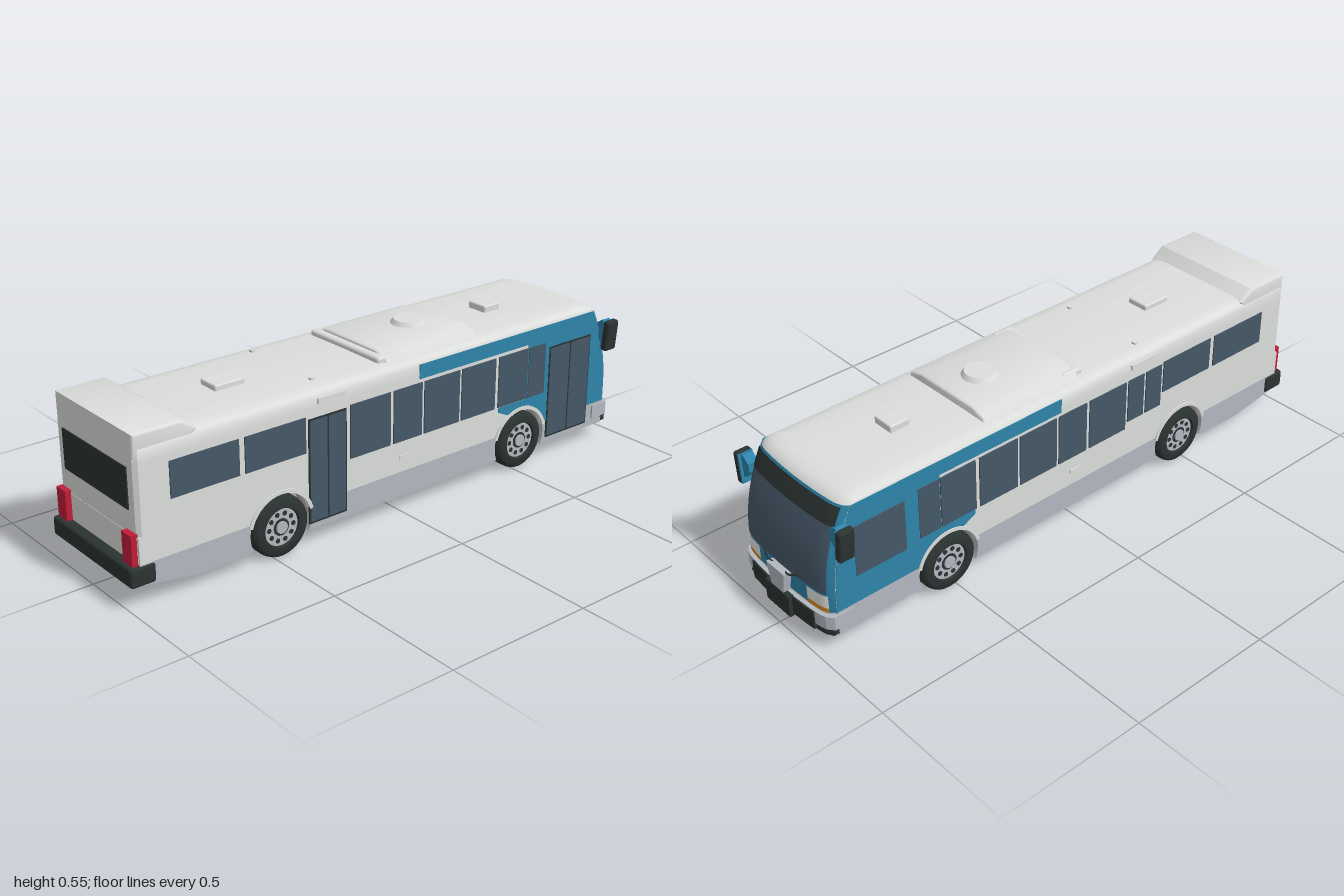
import * as THREE from 'three';
import { toCreasedNormals } from 'three/addons/utils/BufferGeometryUtils.js';
import { RoundedBoxGeometry } from 'three/addons/geometries/RoundedBoxGeometry.js';

const colours = {
  body: 0xdcdedb, skirt: 0xb2b7c0, blue: 0x2e84aa, glass: 0x465767, black: 0x2b3331,
  orange: 0xdc8720, red: 0xc01e38, underside: 0xb8b6b3, lamp: 0xefefec,
};
const W = 0.215;      // half width
const REAR = -0.965;
const AXLES = [-0.475, 0.525];
const ARCH = 0.113;
const SKIRT_TOP = 0.14;

// Curved, raked front surface
function frontX(y, z, w = W) {
  const t = Math.min(1, Math.abs(z) / w), k = Math.max(0, y - 0.2);
  return 0.968 - 0.9 * k * k - 0.015 * t * t - 0.02 * t ** 14;
}

export function createModel() {
  const bus = new THREE.Group();
  bus.name = 'bus';
  const mats = {};
  for (const [name, color] of Object.entries(colours)) {
    mats[name] = new THREE.MeshStandardMaterial({ color });
    mats[name].name = name;
  }
  const add = (name, geo, mat, x = 0, y = 0, z = 0, parent = bus) => {
    const m = new THREE.Mesh(geo, mats[mat]);
    m.name = name;
    m.position.set(x, y, z);
    parent.add(m);
    return m;
  };
  const poly = pts => new THREE.Shape(pts.map(p => new THREE.Vector2(p[0], p[1])));
  const rect = (x0, x1, y0, y1) => poly([[x0, y0], [x1, y0], [x1, y1], [x0, y1]]);
  const extrude = (shape, depth) => new THREE.ExtrudeGeometry(shape, { depth, bevelEnabled: false, curveSegments: 24 });
  const box = (name, mat, x0, x1, y0, y1, z0, z1) => add(name, new THREE.BoxGeometry(x1 - x0, y1 - y0, z1 - z0), mat,
    (x0 + x1) / 2, (y0 + y1) / 2, (z0 + z1) / 2);
  const rounded = (name, mat, x0, x1, y0, y1, z0, z1, r) => add(name,
    new RoundedBoxGeometry(x1 - x0, y1 - y0, z1 - z0, 3, r), mat, (x0 + x1) / 2, (y0 + y1) / 2, (z0 + z1) / 2);
  // Side slab whose outer face lies at |z| = zo
  const slab = (name, shape, zo, th, mat, sides = [1, -1]) => sides.forEach(s =>
    add(name, extrude(shape, th), mat, 0, 0, s > 0 ? zo - th : -zo));
  // Slab seen from above, lying between y0 and y1
  const plan = (name, pts, y0, y1, mat) => {
    const g = extrude(poly(pts), y1 - y0);
    g.rotateX(Math.PI / 2);
    add(name, g, mat, 0, y1, 0);
  };
  const makeMesh = (pos, idx) => {
    const g = new THREE.BufferGeometry();
    g.setAttribute('position', new THREE.Float32BufferAttribute(pos, 3));
    g.setIndex(idx);
    g.computeVertexNormals();
    return g;
  };
  // Thin skin following the front surface
  const patch = (name, mat, y0, y1, z0, z1, eps) => {
    const pos = [], idx = [], ny = 8, nz = 32;
    for (let i = 0; i <= ny; i++) for (let j = 0; j <= nz; j++) {
      const y = y0 + (y1 - y0) * i / ny, z = z0 + (z1 - z0) * j / nz;
      pos.push(frontX(y, z) + eps, y, z);
      if (i < ny && j < nz) {
        const a = i * (nz + 1) + j, b = a + nz + 1;
        idx.push(a, b, a + 1, a + 1, b, b + 1);
      }
    }
    add(name, makeMesh(pos, idx), mat);
  };

  // Upper body: rings stacked upwards, closed by the roof
  const rings = [[0.215, 0], [0.28, 0], [0.34, 0], [0.4, 0], [0.45, 0], [0.48, 0.001], [0.493, 0.007], [0.502, 0.018], [0.507, 0.05]];
  const pos = [], idx = [], M = 37;
  rings.forEach(([y, d], r) => {
    const w = W - d, back = REAR + d;
    for (let j = 0; j <= 32; j++) {
      const z = -w + 2 * w * j / 32;
      pos.push(frontX(y, z, w) - d, y, z);
    }
    pos.push(back + 0.012, y, w, back, y, w - 0.012, back, y, -w + 0.012, back + 0.012, y, -w);
    for (let j = 0; j < M; j++) {
      const a = r * M + j, b = r * M + (j + 1) % M;
      if (r < rings.length - 1) idx.push(a, a + M, b, b, a + M, b + M);
      else idx.push(rings.length * M, b, a);
    }
  });
  pos.push(0, 0.509, 0);
  add('upperBody', toCreasedNormals(makeMesh(pos, idx), 0.6), 'body');

  // Lower panels: three spans shaped around the wheel arches
  const belly = [[-0.6, 0.046], [-0.77, 0.046], [-0.9, 0.065], [REAR, 0.078]];
  const lower = (name, x1, y0, y1, r, zo, th, mat, bottom = []) => {
    const arc = (cx, dir) => Array.from({ length: 13 }, (_, i) => {
      const y = y0 + (y1 - y0) * i / 12;
      return [cx + dir * Math.sqrt(Math.max(0, r * r - (y - 0.1) ** 2)), y];
    });
    const [a, b] = AXLES;
    const tail = bottom.length ? bottom : [[REAR, y0]];
    const spans = [
      [...arc(a, -1), [REAR, y1], ...[...tail].reverse()],
      [...arc(b, -1), ...arc(a, 1).reverse()],
      [[x1, y0], [x1, y1], ...arc(b, 1).reverse()],
    ];
    spans.forEach(s => slab(name, poly(s), zo, th, mat));
  };
  const nose = frontX(0.1, W);
  lower('skirt', nose, 0.055, SKIRT_TOP, ARCH, W, 0.02, 'skirt', belly);
  lower('lowerPanel', nose, SKIRT_TOP, 0.225, ARCH, W, 0.02, 'body');
  lower('chassis', 0.93, 0.055, 0.216, 0.117, 0.196, 0.052, 'underside', belly);
  box('floor', 'underside', -0.6, 0.95, 0.055, 0.215, -0.146, 0.146);
  add('rearFloor', extrude(poly([[-0.59, 0.215], [-0.59, 0.055], ...belly, [REAR, 0.215]]), 0.292), 'underside', 0, 0, -0.146);
  box('rearLowerPanel', 'body', REAR - 0.001, REAR + 0.02, 0.08, 0.225, -W + 0.008, W - 0.008);

  // Blue paint on the sides, following the nose
  const blue = [[0.07, 0.485], [0.07, 0.437], [0.55, 0.437], [0.55, 0.244], [0.42, 0.244], [0.42, 0.228], [0.47, 0.205]];
  for (let i = 0; i <= 16; i++) {
    const a = 2.04 - 1.68 * i / 16;
    blue.push([AXLES[1] + ARCH * Math.cos(a), 0.1 + ARCH * Math.sin(a)]);
  }
  for (let i = 0; i <= 10; i++) {
    const y = SKIRT_TOP + (0.485 - SKIRT_TOP) * i / 10;
    blue.push([frontX(y, W), y]);
  }
  slab('bluePaint', poly(blue), W + 0.002, 0.003, 'blue');

  // Side windows
  const pane = (name, x0, x1, y0, y1, sides) => slab(name, rect(x0, x1, y0, y1), W + 0.004, 0.004, 'glass', sides);
  [[-0.855, -0.62], [-0.6, -0.38]].forEach(([a, b]) => pane('rearSideWindow', a, b, 0.315, 0.43));
  [[-0.21, -0.05], [-0.037, 0.08], [0.09, 0.24], [0.25, 0.4], [0.415, 0.548], [0.553, 0.63]]
    .forEach(([a, b]) => pane('sideWindow', a, b, 0.247, 0.425));
  [[-0.37, -0.3], [-0.29, -0.22]].forEach(([a, b]) => pane('leftMiddleWindow', a, b, 0.27, 0.425, [-1]));
  pane('driverWindow', 0.68, 0.86, 0.235, 0.41, [-1]);

  // Passenger doors on the right-hand side
  [[-0.37, -0.225, 0.42], [0.65, 0.85, 0.405]].forEach(([x0, x1, top]) => {
    slab('doorFrame', rect(x0, x1, 0.075, top), W + 0.003, 0.005, 'black', [1]);
    const mid = (x0 + x1) / 2;
    [[x0 + 0.005, mid - 0.003], [mid + 0.003, x1 - 0.005]].forEach(([a, b]) =>
      slab('doorPane', rect(a, b, 0.082, top - 0.006), W + 0.005, 0.004, 'glass', [1]));
  });
  slab('roofSideTrim', rect(-0.335, -0.23, 0.462, 0.48), W + 0.006, 0.012, 'body');
  slab('sideMarker', rect(-0.01, 0.03, 0.187, 0.198), W + 0.004, 0.005, 'body');

  // Front face
  patch('noseSkirt', 'skirt', 0.06, 0.13, -W, W, 0);
  patch('noseStripe', 'body', 0.128, 0.138, -W, W, 0.001);
  patch('frontPaint', 'blue', 0.137, 0.486, -W, W, 0.002);
  patch('windshield', 'glass', 0.205, 0.424, -0.198, 0.198, 0.005);
  patch('destinationPanel', 'black', 0.424, 0.481, -0.2, 0.2, 0.006);
  for (const s of [1, -1]) {
    const [a, b] = s > 0 ? [0.12, 0.202] : [-0.202, -0.12];
    patch('headlight', 'lamp', 0.155, 0.2, a, b, 0.006);
    patch('turnSignal', 'orange', 0.14, 0.155, a, b, 0.006);
  }

  // Front bumper
  const bow = (w, out, back) => {
    const pts = [[back, -w]];
    for (let i = 0; i <= 20; i++) {
      const z = -w + 2 * w * i / 20;
      pts.push([frontX(0.1, z, 0.222) + out, z]);
    }
    return [...pts, [back, w]];
  };
  plan('frontBumper', bow(0.221, 0.014, 0.88), 0.083, 0.13, 'skirt');
  plan('bumperLip', bow(0.215, 0.01, 0.93), 0.06, 0.083, 'black');
  plan('bumperCentre', bow(0.156, 0.019, 0.94), 0.064, 0.128, 'black');
  box('rackMount', 'black', 0.95, 0.998, 0.056, 0.13, -0.06, 0.06);
  const bracket = extrude(poly([[-0.03, 0.127], [0.03, 0.127], [0.045, 0.203], [-0.045, 0.203]]), 0.035);
  bracket.rotateY(Math.PI / 2);
  add('rackBracket', bracket, 'skirt', 0.96);
  for (const s of [1, -1]) {
    const path = new THREE.CatmullRomCurve3([[0.98, 0.2, 0.03], [0.985, 0.208, 0.055], [0.972, 0.219, 0.088]]
      .map(p => new THREE.Vector3(p[0], p[1], s * p[2])));
    add('wiperArm', new THREE.TubeGeometry(path, 8, 0.003, 6), 'black');
  }

  // Mirrors: dark outer shell, blue inner face and arm
  for (const s of [1, -1]) {
    const mirror = new THREE.Group();
    mirror.name = 'mirror';
    mirror.position.set(0.911, 0.397, s * 0.25);
    mirror.rotation.x = s * 0.08;
    bus.add(mirror);
    add('mirrorShell', new RoundedBoxGeometry(0.054, 0.108, 0.026, 3, 0.009), 'black', 0, 0, 0, mirror);
    add('mirrorInnerFace', new THREE.BoxGeometry(0.05, 0.1, 0.008), 'blue', 0, 0, -s * 0.0115, mirror);
    const arm = extrude(poly([[0.2, 0.4], [0.215, 0.38], [0.236, 0.365], [0.241, 0.445], [0.228, 0.45], [0.2, 0.43]]
      .map(p => [-s * p[0], p[1]])), 0.035);
    arm.rotateY(Math.PI / 2);
    add('mirrorArm', arm, 'blue', 0.892);
  }

  // Rear end
  const hump = new THREE.ExtrudeGeometry(poly([[REAR + 0.01, 0.47], [-0.78, 0.47], [-0.765, 0.498], [-0.805, 0.526], [REAR + 0.01, 0.526]]),
    { depth: 0.4, bevelEnabled: true, bevelSize: 0.01, bevelThickness: 0.01, bevelSegments: 3 });
  add('rearRoofHousing', toCreasedNormals(hump, 0.6), 'body', 0, 0, -0.2);
  box('rearWindow', 'black', REAR - 0.004, REAR + 0.003, 0.3, 0.43, -0.175, 0.175);
  rounded('rearBumper', 'black', -1, -0.915, 0.075, 0.137, -0.221, 0.221, 0.01);
  for (const s of [1, -1]) box('tailLight', 'red', REAR - 0.02, REAR + 0.002, 0.135, 0.235, s * 0.182 - 0.025, s * 0.182 + 0.025);

  // Roof equipment
  const unit = new THREE.ExtrudeGeometry(poly([[-0.178, 0.497], [0.178, 0.497], [0.165, 0.511], [0.12, 0.526], [-0.12, 0.526], [-0.165, 0.511]]),
    { depth: 0.36, bevelEnabled: true, bevelSize: 0.009, bevelThickness: 0.012, bevelSegments: 3 });
  unit.rotateY(Math.PI / 2);
  add('airConditioner', toCreasedNormals(unit, 0.6), 'body', -0.025);
  rounded('airConditionerTail', 'body', -0.062, 0.02, 0.495, 0.525, -0.17, 0.17, 0.01);
  add('fanCover', new THREE.CylinderGeometry(0.05, 0.06, 0.015, 32), 'body', 0.21, 0.542, 0);
  rounded('roofHatch', 'body', -0.575, -0.47, 0.5, 0.526, -0.04, 0.04, 0.006);
  rounded('roofVent', 'body', 0.515, 0.585, 0.5, 0.531, -0.04, 0.04, 0.006);
  for (const z of [-0.16, 0.142]) box('roofMarker', 'body', -0.305, -0.292, 0.505, 0.514, z - 0.007, z + 0.007);

  // Wheels and arch trims
  const tyre = new THREE.LatheGeometry([[0.06, -0.033], [0.088, -0.033], [0.097, -0.026], [0.1, -0.015], [0.1, 0.015],
    [0.097, 0.026], [0.088, 0.033], [0.064, 0.033], [0.06, 0.022]].map(p => new THREE.Vector2(p[0], p[1])), 40);
  tyre.rotateX(Math.PI / 2);
  const disc = (r, h, n = 28) => new THREE.CylinderGeometry(r, r, h, n).rotateX(Math.PI / 2);
  for (const s of [1, -1]) AXLES.forEach((x, i) => {
    const wheel = new THREE.Group();
    wheel.name = i ? 'frontWheel' : 'rearWheel';
    wheel.position.set(x, 0.1, s * 0.189);
    if (s < 0) wheel.rotation.y = Math.PI;
    bus.add(wheel);
    add('tyre', toCreasedNormals(tyre, 0.7), 'black', 0, 0, 0, wheel);
    add('rim', disc(0.061, 0.05), 'skirt', 0, 0, 0, wheel);
    add('hub', disc(0.02, 0.064, 16), 'skirt', 0, 0, 0, wheel);
    add('hubRing', disc(0.028, 0.053), 'black', 0, 0, 0, wheel);
    for (let k = 0; k < 10; k++) {
      const a = k * Math.PI / 5;
      add('rimHole', disc(0.008, 0.004, 10), 'black', 0.045 * Math.cos(a), 0.045 * Math.sin(a), 0.025, wheel);
    }
    if (!i) add('innerDisc', disc(0.097, 0.016), 'body', x, 0.1, s * 0.14);
    const trim = new THREE.Shape();
    trim.absarc(0, 0, 0.122, 0.25, Math.PI - 0.25, false);
    trim.absarc(0, 0, 0.11, Math.PI - 0.25, 0.25, true);
    add('archTrim', extrude(trim, 0.02), 'body', x, 0.1, s > 0 ? W - 0.015 : -W - 0.005);
  });
  return bus;
}
